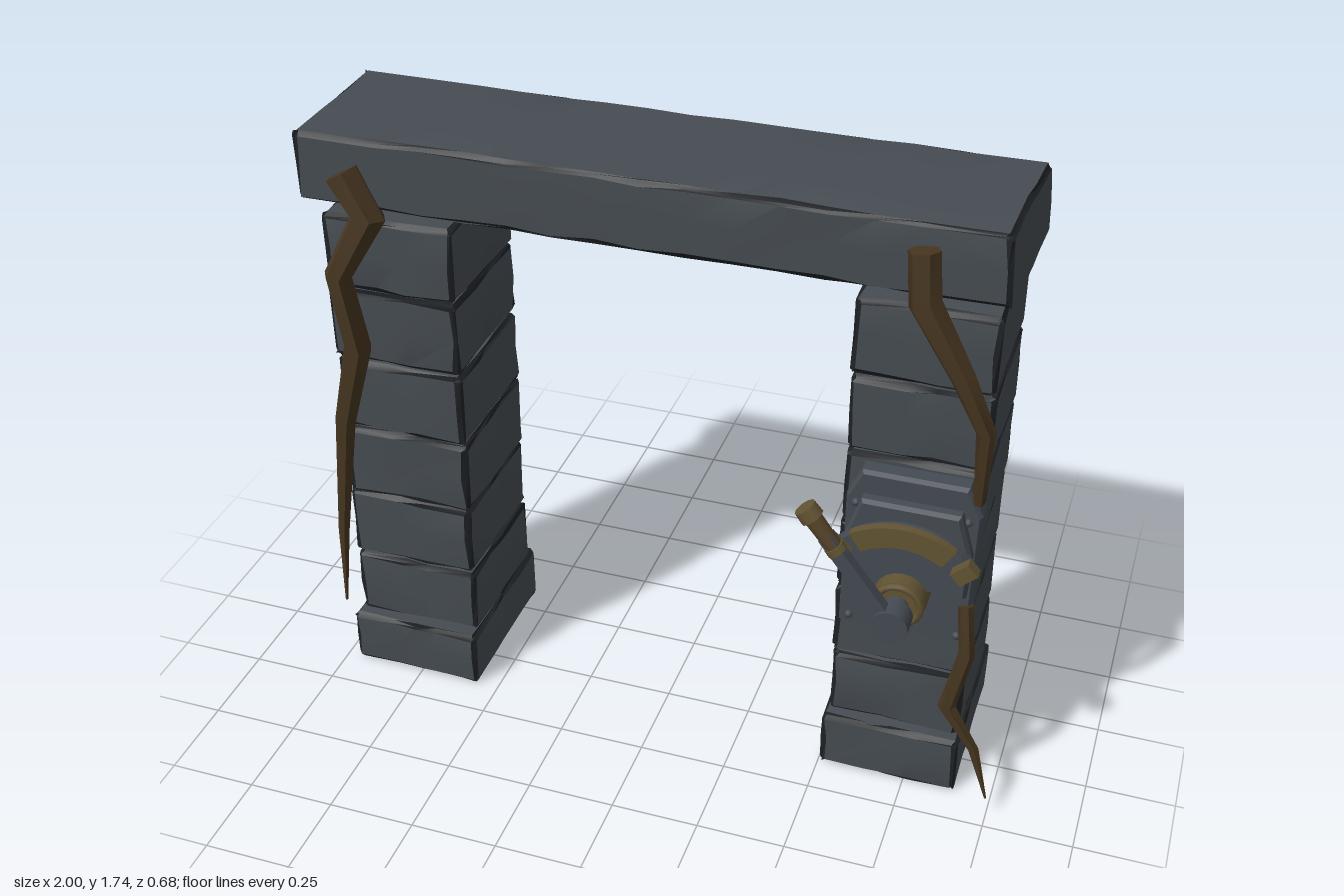
import * as THREE from 'three';
import { toCreasedNormals } from 'three/addons/utils/BufferGeometryUtils.js';

const mat = (name, color) => {
  const m = new THREE.MeshStandardMaterial({ color });
  m.name = name;
  return m;
};

// Repeatable value in -1..1 for a point, equal for coincident corners
function hash(x, y, z, seed) {
  const s = Math.sin(Math.round(x * 500) * 12.9898 + Math.round(y * 500) * 78.233 +
    Math.round(z * 500) * 37.719 + seed * 4.137) * 43758.5453;
  return (s - Math.floor(s)) * 2 - 1;
}

// Rough stone block: narrow dark worn edges around broad, gently uneven faces
function stoneGeometry([x0, x1], [y0, y1], [z0, z1], seed, edge = 0.016, rough = 0.006) {
  const size = [x1 - x0, y1 - y0, z1 - z0];
  const mid = [(x0 + x1) / 2, (y0 + y1) / 2, (z0 + z1) / 2];
  const seg = size.map((s) => Math.max(4, Math.min(16, Math.round(s / 0.07))));
  const g = new THREE.BoxGeometry(...size, ...seg);
  const pos = g.attributes.position;
  const onEdge = [];
  for (let i = 0; i < pos.count; i++) {
    const p = [pos.getX(i), pos.getY(i), pos.getZ(i)];
    const rest = [...p];
    const outer = p.map((v, k) => Math.abs(Math.abs(v) - size[k] / 2) < 1e-5);
    const worn = outer.filter(Boolean).length > 1;
    onEdge.push(worn);
    for (let k = 0; k < 3; k++) {
      const n = hash(...rest, seed + k * 17);
      // Slide the first inner row out to make the edge strip narrow
      const step = size[k] / seg[k];
      if (Math.abs(Math.abs(p[k]) - (size[k] / 2 - step)) < 1e-5) {
        p[k] = Math.sign(p[k]) * (size[k] / 2 - edge * (1 + 0.35 * n));
      }
      if (outer[k]) {
        const inset = worn ? edge * 0.55 + rough * n : rough * 0.35 * (1 + n);
        p[k] -= Math.sign(p[k]) * inset;
      }
    }
    pos.setXYZ(i, p[0] + mid[0], p[1] + mid[1], p[2] + mid[2]);
  }
  const face = [], border = [];
  const idx = g.index.array;
  for (let i = 0; i < idx.length; i += 3) {
    const tri = [idx[i], idx[i + 1], idx[i + 2]];
    (tri.some((v) => onEdge[v]) ? border : face).push(...tri);
  }
  g.setIndex([...face, ...border]);
  g.clearGroups();
  g.addGroup(0, face.length, 0);
  g.addGroup(face.length, border.length, 1);
  return toCreasedNormals(g, 0.5);
}

// Tapering crooked root; each point is [x, y, z, radius]
function rootGeometry(points, sides = 6) {
  const verts = [], idx = [];
  const at = (i) => new THREE.Vector3(...points[i].slice(0, 3));
  const last = points.length - 1;
  points.forEach((p, i) => {
    const dir = at(Math.min(i + 1, last)).sub(at(Math.max(i - 1, 0))).normalize();
    const u = new THREE.Vector3(0, 0, 1).cross(dir).normalize();
    const w = dir.clone().cross(u);
    for (let j = 0; j < sides; j++) {
      const a = (j / sides) * Math.PI * 2;
      const r = p[3] * (1 + 0.1 * hash(i, j, 3, 5));
      const v = at(i).addScaledVector(u, Math.cos(a) * r).addScaledVector(w, Math.sin(a) * r);
      verts.push(v.x, v.y, v.z);
    }
  });
  for (let i = 0; i < last; i++) {
    for (let j = 0; j < sides; j++) {
      const a = i * sides + j, b = i * sides + (j + 1) % sides;
      idx.push(a, b, a + sides, b, b + sides, a + sides);
    }
  }
  for (let j = 1; j < sides - 1; j++) {
    const e = last * sides;
    idx.push(0, j + 1, j, e, e + j, e + j + 1);
  }
  const g = new THREE.BufferGeometry();
  g.setAttribute('position', new THREE.Float32BufferAttribute(verts, 3));
  g.setIndex(idx);
  return toCreasedNormals(g, 0.6);
}

// Flat ring sector, extruded along z
function arcGeometry(inner, outer, from, to, depth) {
  const s = new THREE.Shape();
  s.absarc(0, 0, outer, from, to, false);
  s.absarc(0, 0, inner, to, from, true);
  s.closePath();
  return new THREE.ExtrudeGeometry(s, { depth, bevelEnabled: false, curveSegments: 14 });
}

export function createModel() {
  const model = new THREE.Group();
  model.name = 'stoneGateway';
  const stone = mat('stone', 0x464c52);
  const edgeDark = mat('dark stone edge', 0x1f2226);
  const metal = mat('grey metal', 0x454b53);
  const brass = mat('dull brass', 0x625333);
  const bark = mat('root bark', 0x463520);
  const grip = mat('lever grip', 0x574529);

  const add = (parent, name, geometry, material, x = 0, y = 0, z = 0) => {
    const m = new THREE.Mesh(geometry, material);
    m.name = name;
    m.position.set(x, y, z);
    parent.add(m);
    return m;
  };
  const block = (parent, name, ...spec) => add(parent, name, stoneGeometry(...spec), [stone, edgeDark]);

  // Two pillars of stacked blocks on wider bases
  const joints = [0.165, 0.38, 0.605, 0.832, 1.058, 1.282, 1.508];
  [['rightPillar', -0.953, -0.572], ['leftPillar', 0.512, 0.888]].forEach(([name, x0, x1], p) => {
    const pillar = new THREE.Group();
    pillar.name = name;
    model.add(pillar);
    block(pillar, 'base', [x0 - 0.01, x1 + 0.01], [0, 0.178], [-0.34, 0.145], 3 + p * 40);
    for (let i = 0; i < joints.length - 1; i++) {
      const s = 0.004 * hash(i, p, 1, 9);
      block(pillar, 'block', [x0 + s, x1 + s], [joints[i], joints[i + 1]], [-0.312 + s, 0.1 + s], 10 + i + p * 40);
    }
  });

  // Lintel, its far end cut slightly askew
  const lintel = block(model, 'lintel', [-1.003, 0.915], [1.54, 1.742], [-0.33, 0.115], 91);
  const lp = lintel.geometry.attributes.position;
  for (let i = 0; i < lp.count; i++) {
    if (lp.getX(i) > 0.85) {
      lp.setX(i, lp.getX(i) + 0.012 - 0.08 * (lp.getY(i) - 1.54) - 0.05 * (lp.getZ(i) + 0.33));
    }
  }

  // Lever mechanism on the front of the left pillar
  const lever = new THREE.Group();
  lever.name = 'leverMechanism';
  lever.position.set(0.709, 0.693, 0);
  model.add(lever);
  const backPlate = new THREE.Shape([[-0.165, -0.148], [0.17, -0.148], [0.178, 0.26], [0.14, 0.335],
    [-0.13, 0.335], [-0.165, 0.26]].map((c) => new THREE.Vector2(...c)));
  const bevel = { bevelSize: 0.008, bevelThickness: 0.012, bevelSegments: 1 };
  add(lever, 'backPlate', new THREE.ExtrudeGeometry(backPlate, { depth: 0.05, ...bevel }), [metal, metal], 0, 0, 0.092);
  const upperPlate = new THREE.Shape([[-0.155, 0.03], [0.16, 0.03], [0.165, 0.15], [0.13, 0.27],
    [-0.12, 0.27], [-0.16, 0.15]].map((c) => new THREE.Vector2(...c)));
  add(lever, 'frontPlate', new THREE.ExtrudeGeometry(upperPlate, { depth: 0.024, ...bevel }), metal, 0, 0, 0.155);
  for (const x of [-0.145, 0.15]) {
    for (const y of [-0.125, 0.245]) {
      add(lever, 'rivet', new THREE.SphereGeometry(0.012, 8, 6), metal, x, y, 0.154);
    }
  }
  const disc = (name, r, z0, z1, material) => {
    const g = new THREE.CylinderGeometry(r, r, z1 - z0, 20).rotateX(Math.PI / 2);
    add(lever, name, g, material, 0, 0, (z0 + z1) / 2);
  };
  disc('pivotDisc', 0.072, 0.15, 0.235, brass);
  disc('pivotShaft', 0.03, 0.23, 0.3, metal);
  disc('leverHub', 0.05, 0.272, 0.338, metal);
  add(lever, 'hubRing', new THREE.TorusGeometry(0.06, 0.011, 6, 20), brass, 0, 0, 0.235);

  // Curved guide with an end stop on each side
  add(lever, 'guideArc', arcGeometry(0.19, 0.25, 0.98, 2.16, 0.025), brass, 0, 0, 0.222);
  add(lever, 'guideBacking', arcGeometry(0.205, 0.235, 0.7, 2.44, 0.04), metal, 0, 0, 0.184);
  for (const a of [0.74, 2.4]) {
    const stop = add(lever, 'endStop', new THREE.BoxGeometry(0.06, 0.042, 0.034), brass,
      Math.cos(a) * 0.227, Math.sin(a) * 0.227, 0.242);
    stop.rotation.z = a;
  }

  // Swinging arm with its grip
  const arm = new THREE.Group();
  arm.name = 'leverArm';
  arm.position.z = 0.312;
  arm.rotation.z = 0.66;
  lever.add(arm);
  add(arm, 'armBar', new THREE.BoxGeometry(0.038, 0.3, 0.034), metal, 0, 0.15, 0);
  add(arm, 'grip', new THREE.CylinderGeometry(0.026, 0.022, 0.12, 10), grip, 0, 0.315, 0);
  add(arm, 'gripCollar', new THREE.CylinderGeometry(0.028, 0.028, 0.02, 10), brass, 0, 0.255, 0);
  add(arm, 'gripCap', new THREE.CylinderGeometry(0.031, 0.033, 0.035, 10), brass, 0, 0.378, 0);

  // Crooked roots hanging down the front
  add(model, 'rightRoot', rootGeometry([[-0.853, 1.65, 0.13, 0.05], [-0.785, 1.535, 0.14, 0.048],
    [-0.87, 1.37, 0.18, 0.04], [-0.838, 1.147, 0.17, 0.04], [-0.9, 0.9, 0.17, 0.03],
    [-0.932, 0.53, 0.195, 0.017], [-0.936, 0.29, 0.217, 0.004]]), bark);
  add(model, 'leftUpperRoot', rootGeometry([[0.686, 1.685, 0.142, 0.042], [0.7, 1.55, 0.155, 0.042],
    [0.81, 1.375, 0.173, 0.034], [0.882, 1.227, 0.172, 0.026], [0.882, 1.01, 0.165, 0.014]]), bark);
  add(model, 'leftLowerRoot', rootGeometry([[0.876, 0.672, 0.15, 0.022], [0.895, 0.53, 0.175, 0.022],
    [0.858, 0.35, 0.19, 0.026], [0.945, 0.22, 0.195, 0.015], [0.995, 0.073, 0.215, 0.003]]), bark);
  return model;
}
